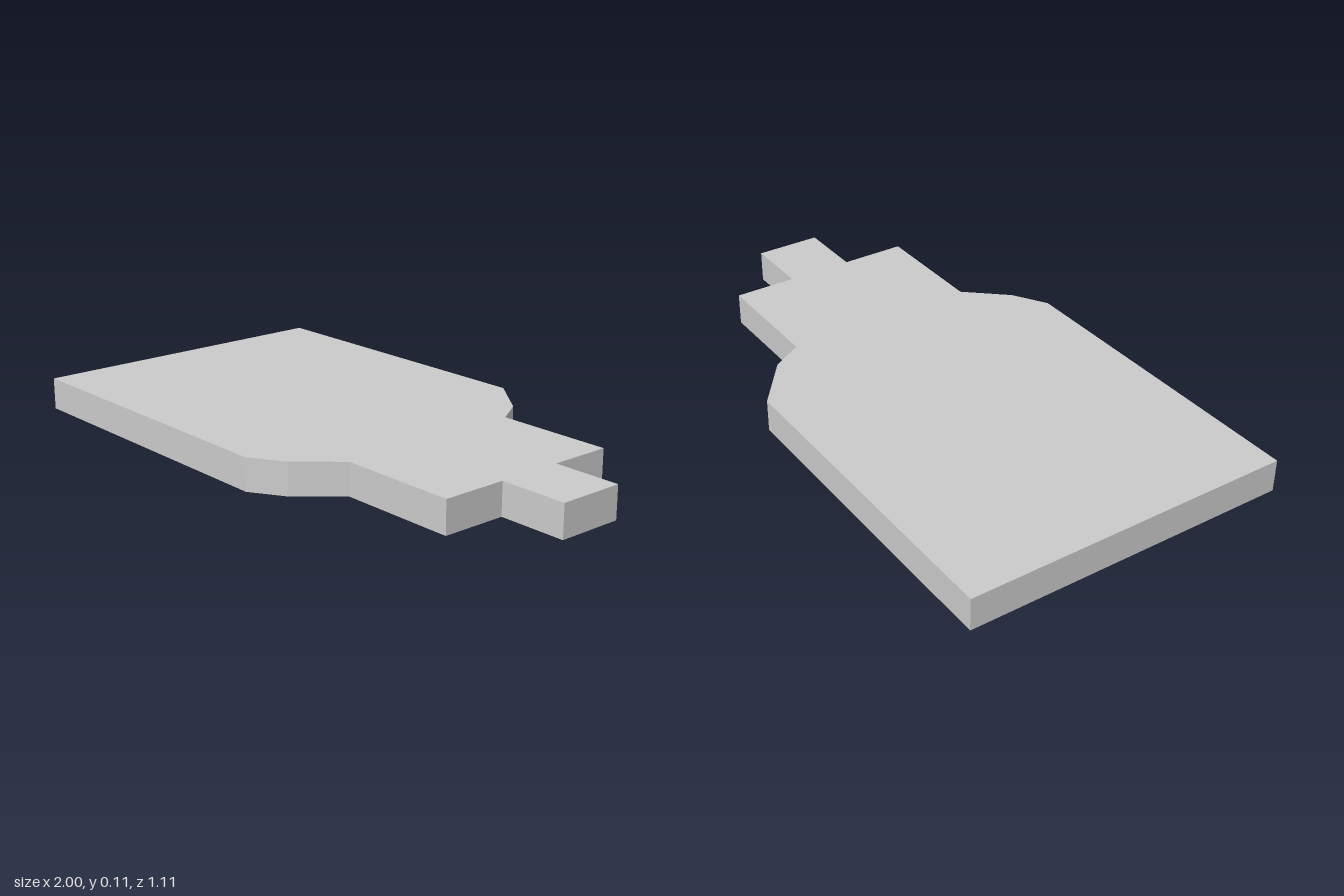
import * as THREE from 'three';

const THICKNESS = 0.11;

export function createModel() {
  const group = new THREE.Group();
  group.name = 'bottlePlate';

  // Plan outline as [x, z]: body, uneven shoulders, neck and narrow tip
  const outline = [
    [-1, 0.554], [0.12, 0.554], [0.235, 0.483], [0.355, 0.346],
    [0.766, 0.346], [0.766, 0.123], [1, 0.123], [1, -0.104],
    [0.766, -0.104], [0.766, -0.318], [0.355, -0.318], [0.29, -0.424],
    [0.12, -0.554], [-1, -0.554],
  ];
  const shape = new THREE.Shape(outline.map(([x, z]) => new THREE.Vector2(x, -z)));

  // Extrude upwards from the ground
  const geometry = new THREE.ExtrudeGeometry(shape, { depth: THICKNESS, bevelEnabled: false });
  geometry.rotateX(-Math.PI / 2);

  const plate = new THREE.Mesh(
    geometry,
    new THREE.MeshStandardMaterial({ color: 0xcccccc, flatShading: true })
  );
  plate.name = 'plate';
  group.add(plate);
  return group;
}
